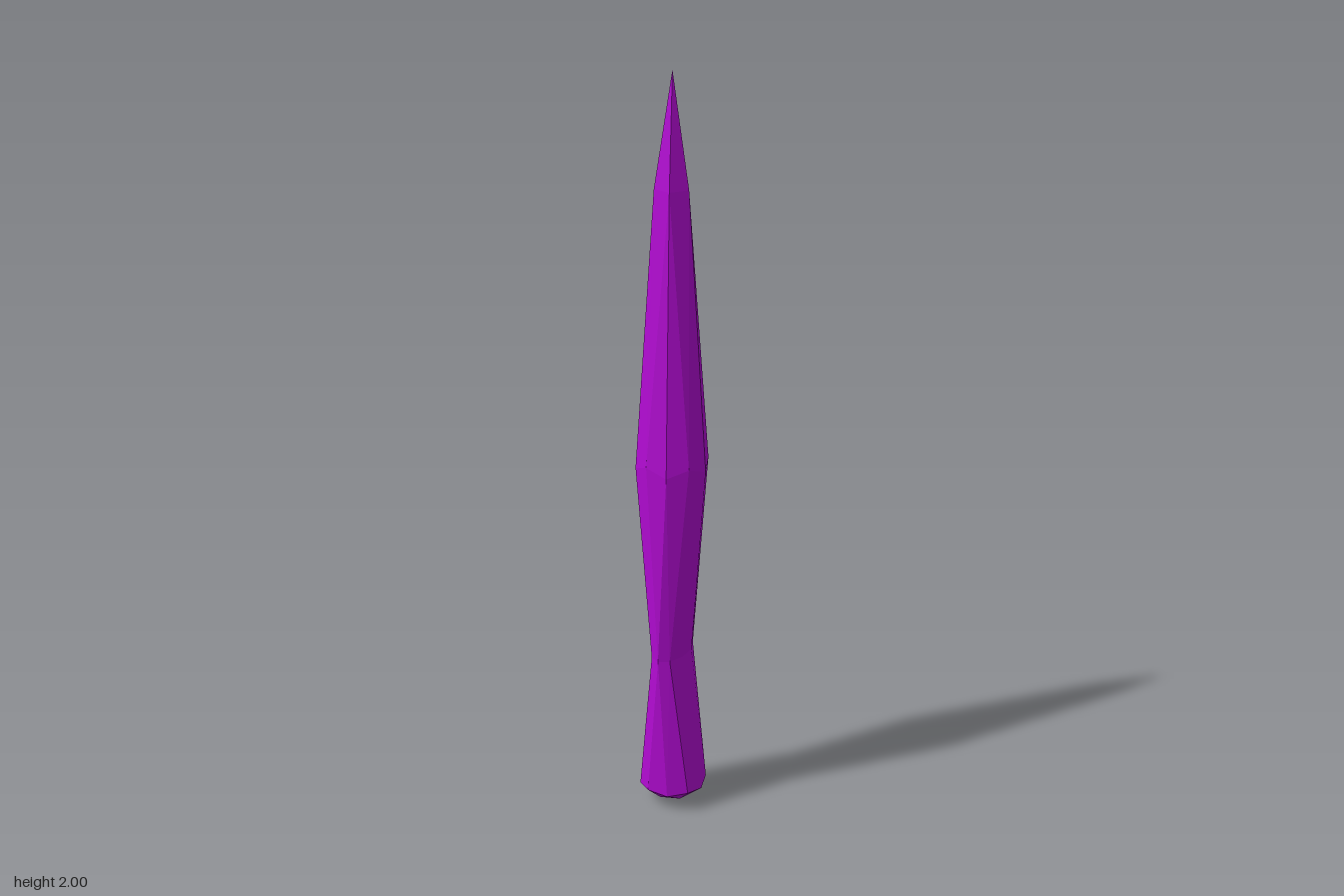
import * as THREE from 'three';

// Ring of points around the y axis; even and odd points may differ in radius and height
function ring(count, startDeg, at) {
  return Array.from({ length: count }, (_, i) => {
    const a = THREE.MathUtils.degToRad(startDeg + (i * 360) / count);
    const { rx, rz = rx, y } = at(i);
    return [rx * Math.cos(a), y, -rz * Math.sin(a)];
  });
}

export function createModel() {
  const group = new THREE.Group();

  // Stretched icosphere: tip, shoulder, belly, pinched waist, foot, base
  const tip = [0, 2, 0];
  const shoulder = ring(5, 0, () => ({ rx: 0.046, y: 1.71 }));
  const belly = ring(10, 0, i => (i % 2 ? { rx: 0.094, y: 1.0 } : { rx: 0.096, y: 0.98 }));
  const waist = ring(10, 18, () => ({ rx: 0.046, rz: 0.083, y: 0.45 }));
  const foot = ring(10, 0, i => (i % 2 ? { rx: 0.093, y: 0.055 } : { rx: 0.089, y: 0.047 }));
  const base = ring(5, 36, () => ({ rx: 0.046, y: 0.013 }));
  const bottom = [0, 0, 0];

  const positions = [];
  const tri = (...corners) => corners.forEach(c => positions.push(...c));
  const at = (r, i) => r[(i + r.length) % r.length];

  // Pointed top and blunt underside
  for (let i = 0; i < 5; i++) {
    const s = shoulder[i], sNext = at(shoulder, i + 1);
    tri(tip, s, sNext);
    tri(s, at(belly, 2 * i - 1), belly[2 * i]);
    tri(s, belly[2 * i], belly[2 * i + 1]);
    tri(s, belly[2 * i + 1], sNext);

    const b = base[i], bNext = at(base, i + 1);
    tri(bottom, bNext, b);
    tri(b, foot[2 * i + 1], foot[2 * i]);
    tri(b, at(foot, 2 * i + 2), foot[2 * i + 1]);
    tri(b, bNext, at(foot, 2 * i + 2));
  }

  // Faceted bands above and below the waist
  for (let j = 0; j < 10; j++) {
    const next = j + 1;
    tri(belly[j], at(waist, j - 1), waist[j]);
    tri(belly[j], waist[j], at(belly, next));
    tri(waist[j], foot[j], at(foot, next));
    tri(waist[j], at(foot, next), at(waist, next));
  }

  const geometry = new THREE.BufferGeometry();
  geometry.setAttribute('position', new THREE.Float32BufferAttribute(positions, 3));
  geometry.computeVertexNormals();

  const material = new THREE.MeshStandardMaterial({ color: 0xb00bd0, flatShading: true });
  const spike = new THREE.Mesh(geometry, material);
  spike.name = 'crystalSpike';
  group.add(spike);
  return group;
}
